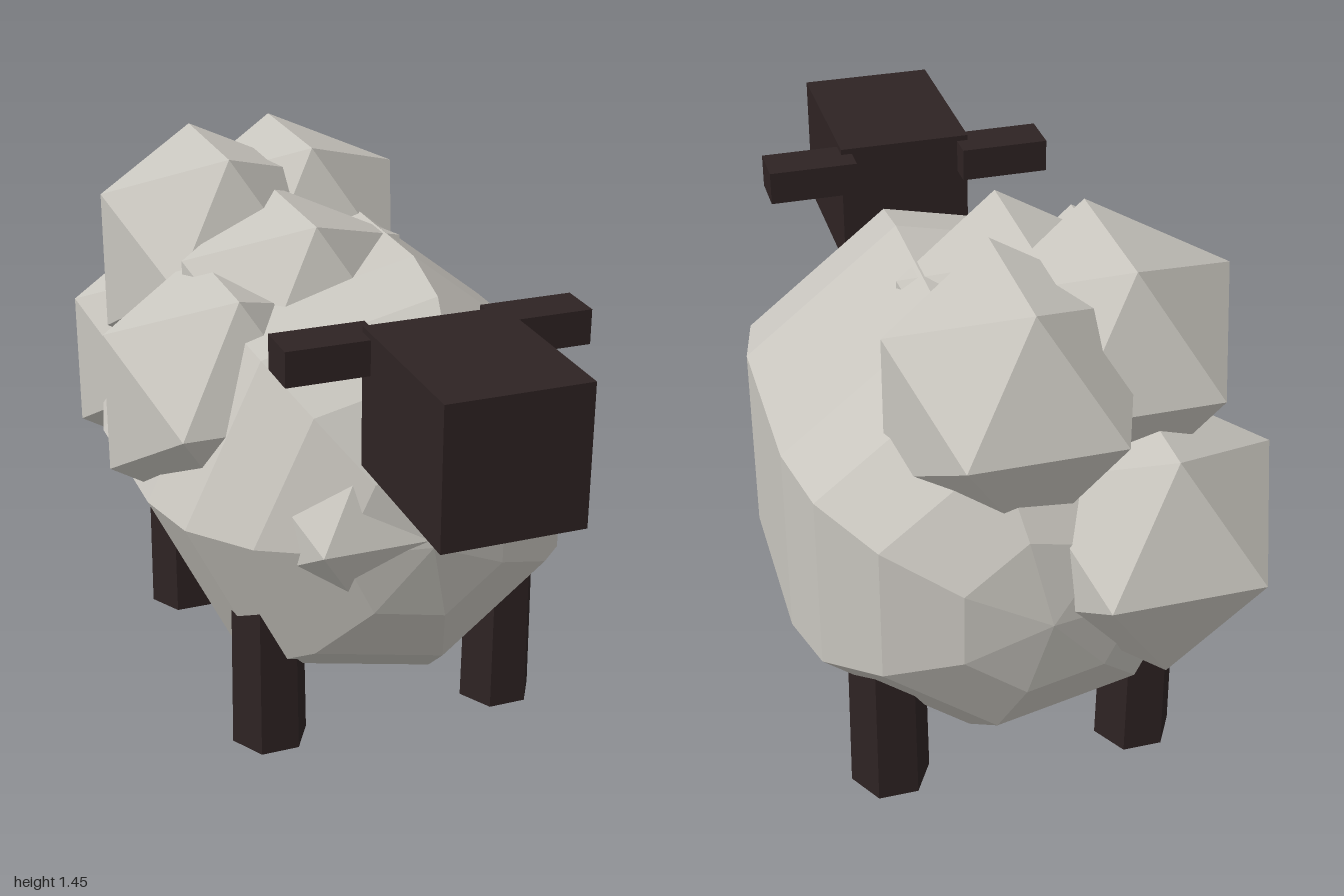
import * as THREE from 'three';

export function createModel() {
  const wool = new THREE.MeshStandardMaterial({ color: 0xc8c5be });
  wool.name = 'wool';
  const hide = new THREE.MeshStandardMaterial({ color: 0x2e2323 });
  hide.name = 'dark hide';

  const model = new THREE.Group();
  model.name = 'sheep';

  // Adds a faceted mesh
  function add(name, geometry, material, x, y, z) {
    const flat = geometry.index ? geometry.toNonIndexed() : geometry;
    flat.computeVertexNormals();
    const mesh = new THREE.Mesh(flat, material);
    mesh.name = name;
    mesh.position.set(x, y, z);
    model.add(mesh);
    return mesh;
  }

  const midX = 0.06;
  const midZ = -0.163;

  // Body: seven-sided capsule lying along z, slightly shortened
  const body = new THREE.CapsuleGeometry(0.6, 0.588, 4, 7);
  body.rotateX(Math.PI / 2);
  body.scale(1, 1, 0.808);
  add('body', body, wool, midX, 0.67, midZ);

  // Wool puffs: equal icosahedra sunk into the body
  const puffs = [
    [-0.23, 0.77, -0.693],
    [0.075, 1.125, -0.56],
    [-0.19, 1.145, -0.468],
    [-0.3, 0.91, -0.05],
    [-0.055, 1.04, -0.163],
    [-0.04, 0.69, 0.25],
  ];
  for (const [x, y, z] of puffs) {
    const puff = new THREE.IcosahedronGeometry(0.36, 0);
    puff.rotateY(Math.PI / 2);
    add('woolPuff', puff, wool, x, y, z);
  }

  // Head
  add('head', new THREE.BoxGeometry(0.36, 0.36, 0.48), hide, midX, 1.09, 0.76);

  // Ears and legs, mirrored about the body's middle
  for (const side of [-1, 1]) {
    const label = side > 0 ? 'left' : 'right';
    add(label + 'Ear', new THREE.BoxGeometry(0.24, 0.09, 0.12), hide, midX + side * 0.27, 1.21, 0.515);
    for (const end of [-1, 1]) {
      const leg = new THREE.CylinderGeometry(0.098, 0.104, 0.5, 6);
      leg.rotateY(Math.PI / 6);
      add(label + (end > 0 ? 'FrontLeg' : 'BackLeg'), leg, hide,
        midX + side * 0.333, 0.25, midZ + end * 0.405);
    }
  }

  return model;
}
